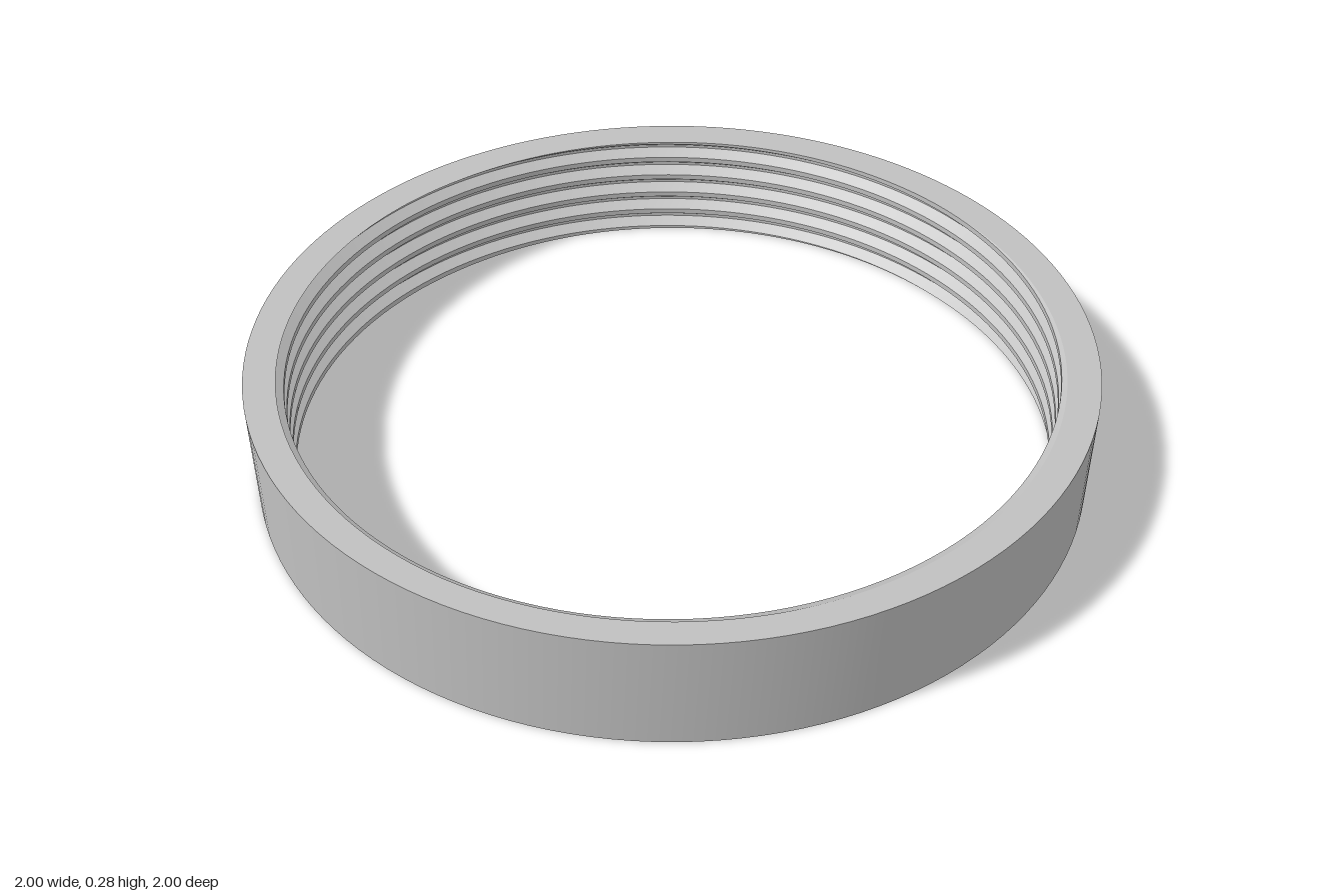
import * as THREE from 'three';
import { toCreasedNormals } from 'three/addons/utils/BufferGeometryUtils.js';

const HEIGHT = 0.28, OUTER = 1, CREST = 0.91, ROOT = 0.937;
const TURNS = 5, PITCH = HEIGHT / TURNS, SEGMENTS = 144;
const START = 0.6 * PITCH; // where the groove begins

// Thread profile over one pitch: [fraction of pitch, radius]
const PROFILE = [[0, CREST], [0.25, CREST], [0.56, ROOT], [0.69, ROOT], [1, CREST]];

// Radius of the threaded bore at a fraction of the pitch
function boreRadius(t) {
  const f = t - Math.floor(t);
  for (let i = 1; i < PROFILE.length; i++) {
    const [t0, r0] = PROFILE[i - 1], [t1, r1] = PROFILE[i];
    if (f <= t1) return r0 + (r1 - r0) * (f - t0) / (t1 - t0);
  }
  return CREST;
}

// Closed cross-section at one angle: outer wall up, then bore down
function crossSection(angle) {
  const shift = START + PITCH * angle / (2 * Math.PI);
  const points = [[OUTER, 0], [OUTER, HEIGHT]];
  for (let turn = TURNS + 1; turn >= -3; turn--) {
    for (let i = PROFILE.length - 2; i >= 0; i--) {
      const raw = (turn + PROFILE[i][0]) * PITCH + shift;
      const y = Math.min(HEIGHT, Math.max(0, raw));
      const r = y === raw ? PROFILE[i][1] : boreRadius((y - shift) / PITCH);
      points.push([r, y]);
    }
  }
  points.push([OUTER, 0]);
  return points.map(([r, y]) =>
    new THREE.Vector3(r * Math.cos(angle), y, -r * Math.sin(angle)));
}

// Sweep the changing cross-section around the axis
function threadedRingGeometry() {
  const positions = [];
  const triangle = (a, b, c) => {
    const area = b.clone().sub(a).cross(c.clone().sub(a)).length();
    if (area > 1e-9) for (const p of [a, b, c]) positions.push(p.x, p.y, p.z);
  };
  let current = crossSection(0);
  for (let j = 1; j <= SEGMENTS; j++) {
    const next = crossSection(j / SEGMENTS * 2 * Math.PI);
    for (let i = 0; i < current.length - 1; i++) {
      triangle(current[i], next[i], next[i + 1]);
      triangle(current[i], next[i + 1], current[i + 1]);
    }
    current = next;
  }
  const geometry = new THREE.BufferGeometry();
  geometry.setAttribute('position', new THREE.Float32BufferAttribute(positions, 3));
  return toCreasedNormals(geometry, 0.5);
}

export function createModel() {
  const group = new THREE.Group();
  group.name = 'threadedRing';
  const grey = new THREE.MeshStandardMaterial({ color: 0xc0c0c0 });
  grey.name = 'light grey';
  const ring = new THREE.Mesh(threadedRingGeometry(), grey);
  ring.name = 'ringWithInternalThread';
  group.add(ring);
  return group;
}
